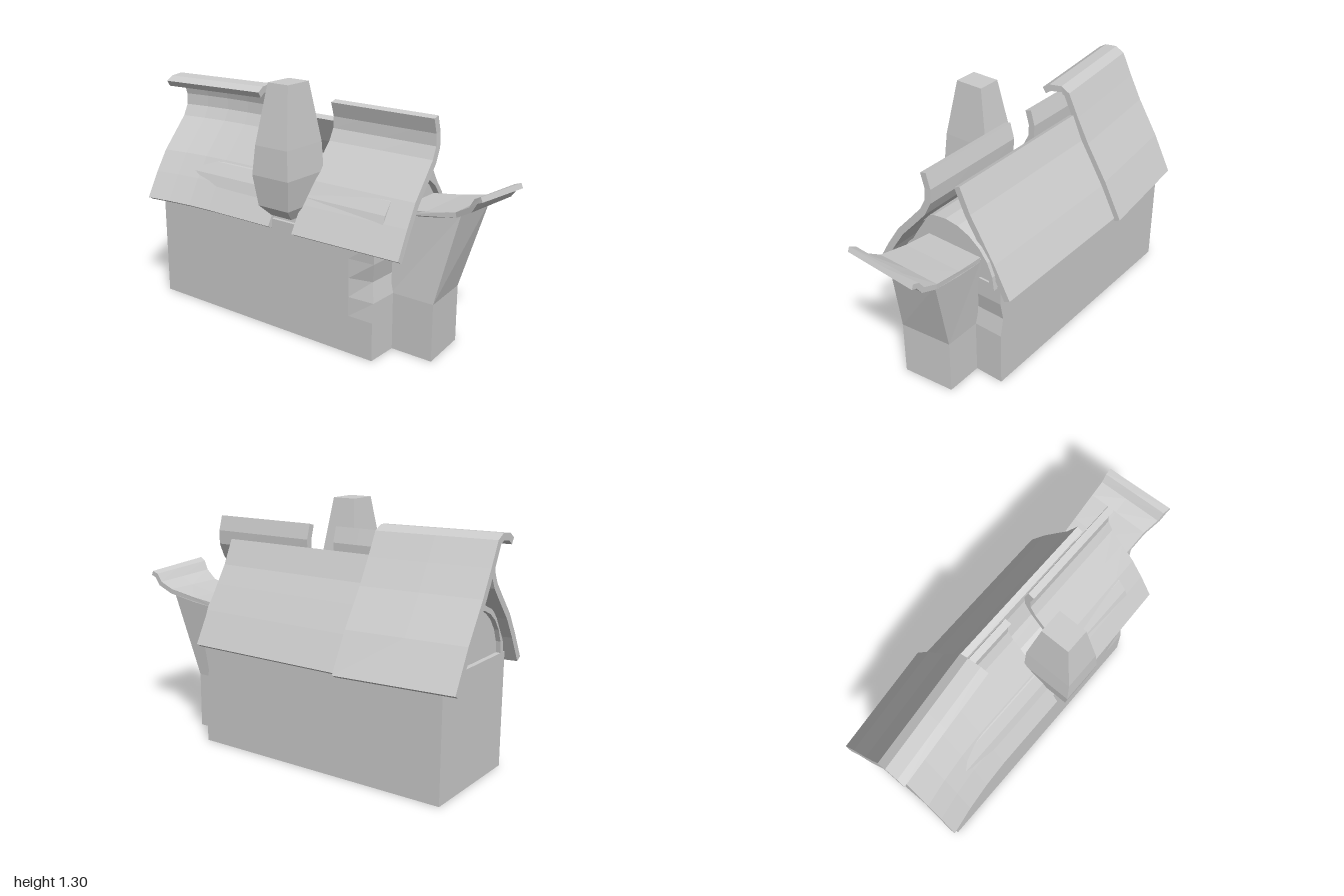
import * as THREE from 'three';

const material = new THREE.MeshStandardMaterial({ color: 0xcccccc, flatShading: true, side: THREE.DoubleSide });

function add(parent, name, geometry) {
  geometry.computeVertexNormals();
  const mesh = new THREE.Mesh(geometry, material);
  mesh.name = name;
  parent.add(mesh);
  return mesh;
}

// Move every vertex by a rule
function warp(geometry, rule) {
  const p = geometry.attributes.position, v = new THREE.Vector3();
  for (let i = 0; i < p.count; i++) {
    v.fromBufferAttribute(p, i);
    rule(v);
    p.setXYZ(i, v.x, v.y, v.z);
  }
  return geometry;
}

// Bent sheet: outer profile thickened to its right-hand side, extruded from z0 to z1
function sheet(path, thickness, z0, z1, steps = 1) {
  const pts = path.map(([x, y]) => new THREE.Vector2(x, y));
  const inner = pts.map((p, i) => {
    const d = pts[Math.min(i + 1, pts.length - 1)].clone().sub(pts[Math.max(i - 1, 0)]).normalize();
    return new THREE.Vector2(p.x + d.y * thickness, p.y - d.x * thickness);
  });
  const shape = new THREE.Shape([...pts, ...inner.reverse()]);
  const g = new THREE.ExtrudeGeometry(shape, { depth: z1 - z0, steps, bevelEnabled: false });
  return g.translate(0, 0, z0);
}

// Solid through four-cornered rings, listed from bottom to top
function loft(rings) {
  const pos = [];
  const quad = (a, b, c, d) => pos.push(...a, ...b, ...c, ...a, ...c, ...d);
  for (let r = 0; r < rings.length - 1; r++) {
    for (let i = 0; i < 4; i++) {
      const j = (i + 1) % 4;
      quad(rings[r][i], rings[r][j], rings[r + 1][j], rings[r + 1][i]);
    }
  }
  const b = rings[0];
  quad(b[3], b[2], b[1], b[0]);
  quad(...rings[rings.length - 1]);
  const g = new THREE.BufferGeometry();
  g.setAttribute('position', new THREE.Float32BufferAttribute(pos, 3));
  return g;
}

const ring = (y, x0, x1, z0, z1) => [[x0, y, z1], [x1, y, z1], [x1, y, z0], [x0, y, z0]];

export function createModel() {
  const model = new THREE.Group();
  model.name = 'crookedCottage';

  // Walls, with a dent in the front corner
  const walls = new THREE.BoxGeometry(0.615, 0.6, 1.43, 1, 6, 10).translate(0.0025, 0.3, -0.205);
  warp(walls, (v) => {
    if (v.x < 0 && v.z > 0.5) v.x += Math.max(0, 0.03 - Math.abs(v.y - 0.4) * 0.2) * (Math.abs(v.y - 0.4) < 0.12 ? 1 : 0);
    if (v.z > 0.5 && v.y > 0.35 && v.y < 0.45) v.z -= 0.02;
  });
  add(model, 'walls', walls);

  // Vaulted loft: arched shell with slightly recessed gables
  const arc = (rx, ry) => Array.from({ length: 13 }, (_, i) => {
    const a = Math.PI * (1 - i / 12);
    return [0.0025 + rx * Math.cos(a), 0.59 + ry * Math.sin(a)];
  });
  add(model, 'archShell', sheet(arc(0.29, 0.29), 0.025, -0.92, 0.535));
  const gable = new THREE.Shape(arc(0.275, 0.275).map(([x, y]) => new THREE.Vector2(x, y)));
  add(model, 'gables', new THREE.ExtrudeGeometry(gable, { depth: 1.395, bevelEnabled: false }).translate(0, 0, -0.895));

  // Right-hand roof pair: two panels with a gap for the chimney
  const curl = [[-0.335, 0.565], [-0.26, 0.7], [-0.19, 0.81], [-0.11, 0.9], [-0.04, 0.98],
    [-0.01, 1.04], [-0.008, 1.1], [-0.03, 1.175]];
  const sway = (v) => {
    const low = THREE.MathUtils.clamp((1.1 - v.y) / 0.5, 0, 1);
    if (v.z > 0) v.x -= 0.015 * low * (1 - v.z / 0.67);
    else if (v.z < -0.5) v.x -= 0.2 * (v.z + 0.5) ** 2;
    if (v.z > 0.6) v.z -= 0.02 * (1 - low);
  };
  add(model, 'frontCurledRoof', warp(sheet(curl, 0.036, 0.045, 0.67, 4), sway));
  add(model, 'rearCurledRoof', warp(sheet(curl, 0.036, -0.97, -0.12, 6), sway));

  // Left-hand roof: low front panel
  add(model, 'lowRoof', sheet([[0.08, 1.075], [0.14, 0.945], [0.2, 0.85], [0.28, 0.72], [0.37, 0.55]],
    0.036, -0.4, 0.515));

  // Tall rear panel, hooked over the ridge and skewed
  const hook = [[-0.11, 1.185], [-0.07, 1.21], [0, 1.217], [0.05, 1.19], [0.11, 1.07],
    [0.18, 0.94], [0.3, 0.75], [0.405, 0.55]];
  add(model, 'tallRoof', warp(sheet(hook, 0.036, -1, -0.385, 2), (v) => {
    v.x += (v.z + 0.385) * 0.1;
    if (v.z > -0.5 && v.x < 0) v.z -= v.x * 0.12;
  }));

  // Chimney, bulging low and tapering to the top
  add(model, 'chimney', loft([
    ring(0.63, -0.33, -0.17, -0.1, 0.03),
    ring(0.69, -0.39, -0.15, -0.13, 0.06),
    ring(0.85, -0.41, -0.135, -0.15, 0.08),
    ring(1.0, -0.4, -0.135, -0.135, 0.068),
    ring(1.305, -0.345, -0.19, -0.095, 0.033),
  ]));

  // Porch, leaning forward and twisting as it rises
  const base = (y) => [[-0.13, y, 0.74], [0.15, y, 0.71], [0.15, y, 0.5], [-0.13, y, 0.5]];
  add(model, 'porch', loft([
    base(0), base(0.3),
    [[-0.08, 0.755, 0.84], [0.2, 0.755, 0.835], [0.19, 0.71, 0.5], [-0.13, 0.71, 0.5]],
  ]));

  // Porch roof, flared and flicked up at the front
  const flick = [[0.52, 0.735], [0.68, 0.755], [0.84, 0.785], [0.92, 0.825], [0.95, 0.87], [0.985, 0.885]];
  const porchRoof = sheet(flick, 0.026, -0.2, 0.125, 2).rotateY(-Math.PI / 2);
  add(model, 'porchRoof', warp(porchRoof, (v) => {
    const t = THREE.MathUtils.clamp((v.z - 0.82) / 0.16, 0, 1);
    if (v.x < 0) v.x -= 0.045 * t;
    else v.x += 0.02 * THREE.MathUtils.clamp((v.z - 0.52) / 0.3, 0, 1);
    v.y -= v.x * 0.07 * t;
  }));

  return model;
}
